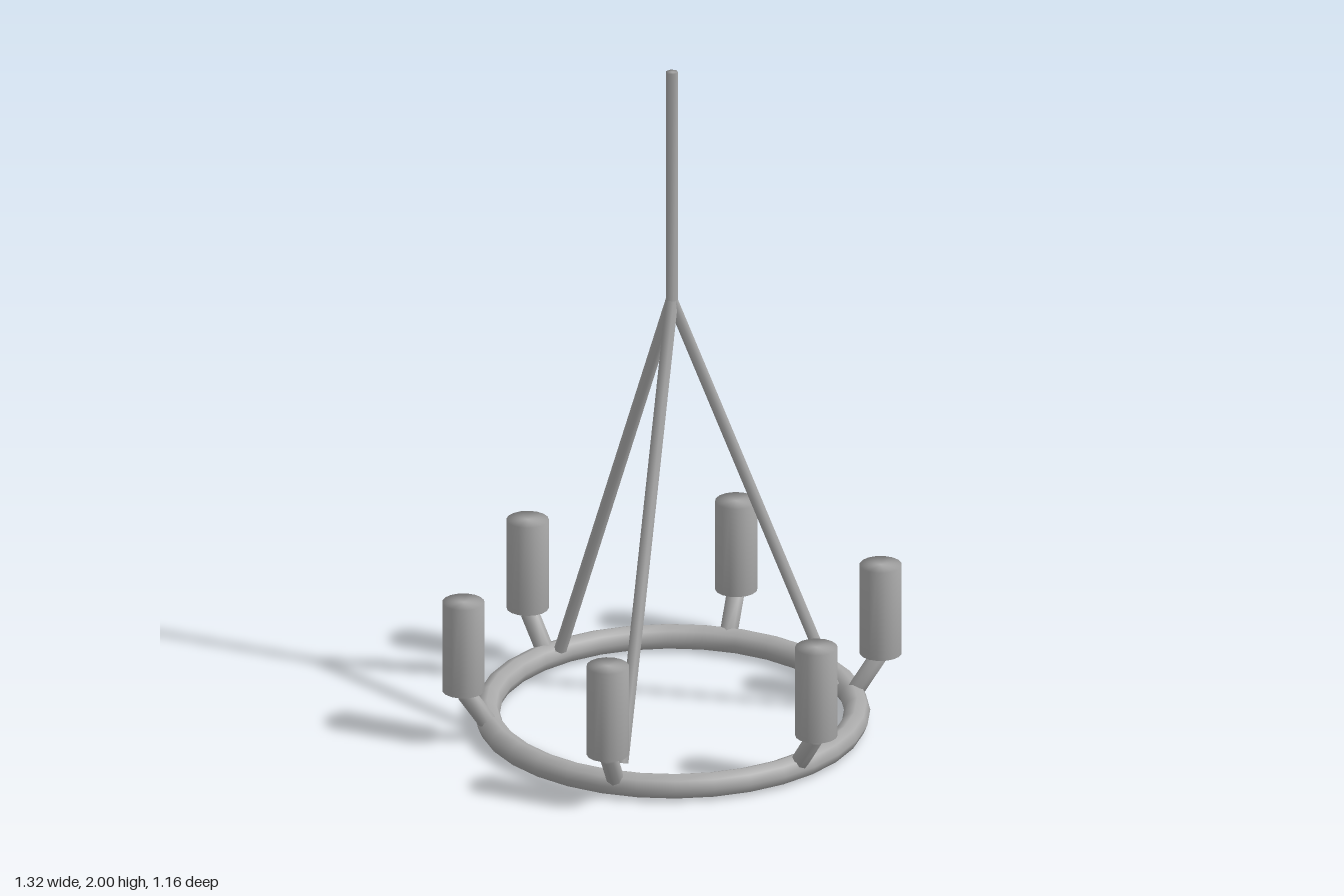
import * as THREE from 'three';
import { mergeVertices } from 'three/addons/utils/BufferGeometryUtils.js';

const metal = new THREE.MeshStandardMaterial({ color: 0xaaaaaa });
metal.name = 'grey metal';

// Weld all corners so that sides and caps share smooth normals
function soften(geometry) {
  geometry.deleteAttribute('normal');
  geometry.deleteAttribute('uv');
  const welded = mergeVertices(geometry);
  welded.computeVertexNormals();
  return welded;
}

// Capped rod between two points
function rod(name, from, to, radius, sides) {
  const a = new THREE.Vector3(...from);
  const b = new THREE.Vector3(...to);
  const dir = b.clone().sub(a);
  const geometry = soften(new THREE.CylinderGeometry(radius, radius, dir.length(), sides));
  const mesh = new THREE.Mesh(geometry, metal);
  mesh.name = name;
  mesh.position.copy(a).add(b).multiplyScalar(0.5);
  mesh.quaternion.setFromUnitVectors(new THREE.Vector3(0, 1, 0), dir.normalize());
  return mesh;
}

export function createModel() {
  const model = new THREE.Group();
  model.name = 'chandelier';

  // Horizontal ring
  const ring = new THREE.Mesh(new THREE.TorusGeometry(0.52, 0.037, 8, 32), metal);
  ring.name = 'ring';
  ring.rotation.x = -Math.PI / 2;
  ring.position.y = 0.037;
  model.add(ring);

  // Hanging stem
  model.add(rod('stem', [0, 1.29, 0], [0, 2, 0], 0.018, 6));

  // Three sloping supports from the stem to the ring
  for (let i = 0; i < 3; i++) {
    const support = new THREE.Group();
    support.name = 'support';
    support.add(rod('supportRod', [0.464, 0.075, 0], [0, 1.3, 0], 0.018, 6));
    support.rotation.y = (i * Math.PI * 2) / 3;
    model.add(support);
  }

  // Six lamps on short arms leaning outward
  for (let i = 0; i < 6; i++) {
    const lamp = new THREE.Group();
    lamp.name = 'lamp';
    lamp.add(rod('lampArm', [0.53, 0.055, 0], [0.592, 0.147, 0], 0.026, 8));
    lamp.add(rod('lampShade', [0.6, 0.16, 0], [0.6, 0.43, 0], 0.06, 16));
    lamp.rotation.y = (i * Math.PI) / 3;
    model.add(lamp);
  }
  return model;
}
